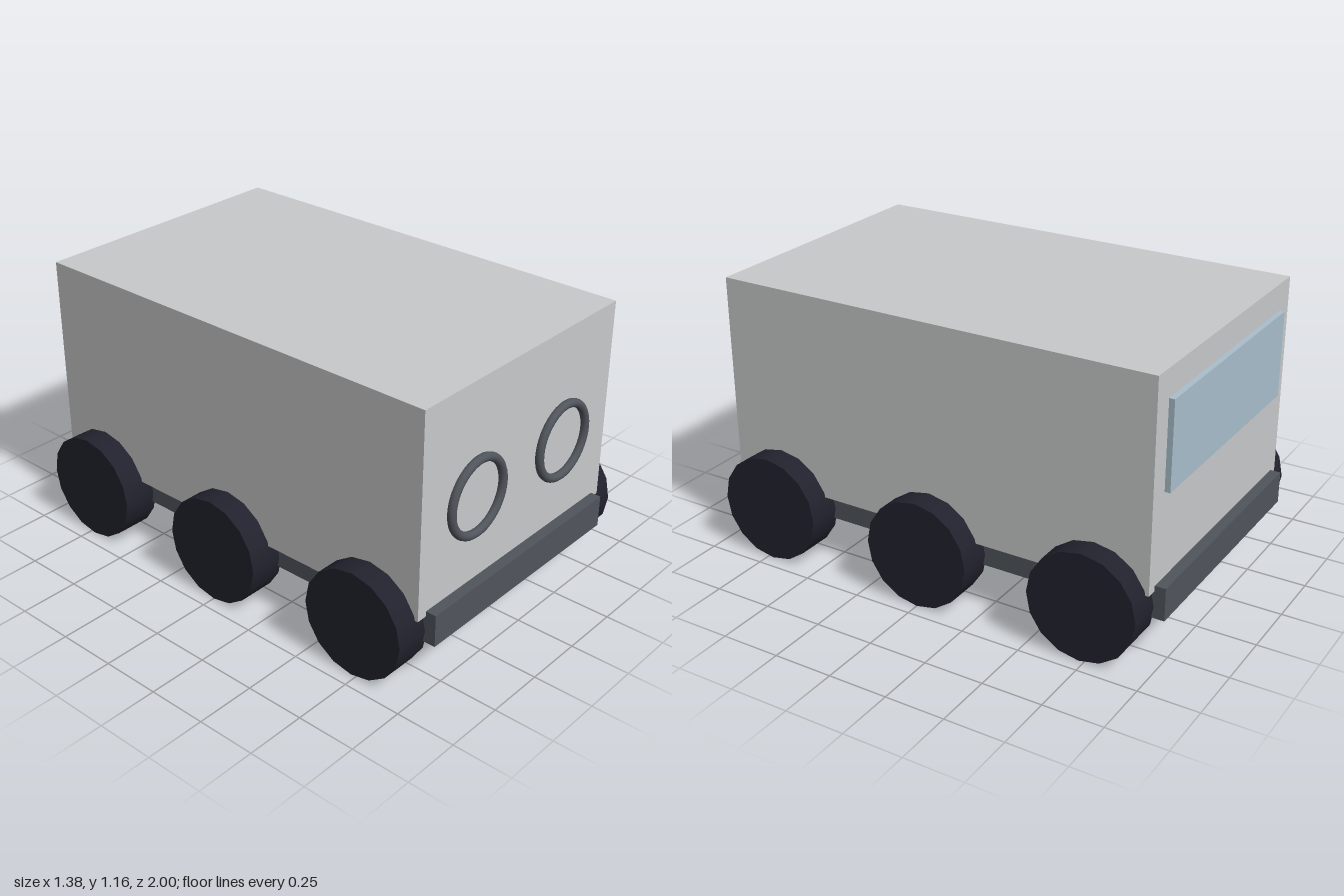
import * as THREE from 'three';

const material = (name, color) => {
  const m = new THREE.MeshStandardMaterial({ color });
  m.name = name;
  return m;
};

export function createModel() {
  const model = new THREE.Group();
  model.name = 'sixWheeledVan';
  const paint = material('bodyGrey', 0xc8c9ca);
  const steel = material('chassisGrey', 0x50555c);
  const rubber = material('tyreBlack', 0x22222e);
  const glass = material('windowBlue', 0xa9becb);

  const add = (name, geometry, mat, x, y, z) => {
    const mesh = new THREE.Mesh(geometry, mat);
    mesh.name = name;
    mesh.position.set(x, y, z);
    model.add(mesh);
    return mesh;
  };

  // Box body on a chassis that sticks out as bumpers at both ends
  add('body', new THREE.BoxGeometry(1.182, 0.866, 1.91), paint, 0, 0.729, 0);
  add('chassis', new THREE.BoxGeometry(1.09, 0.137, 2), steel, 0, 0.25, 0);

  // Rear window
  add('rearWindow', new THREE.BoxGeometry(1.0, 0.364, 0.045), glass, 0, 0.864, -0.955);

  // Headlight rings and wheels, mirrored left and right
  const ring = new THREE.TorusGeometry(0.1545, 0.018, 12, 40);
  const wheel = new THREE.CylinderGeometry(0.2275, 0.2275, 0.159, 16).rotateZ(Math.PI / 2);
  for (const side of [-1, 1]) {
    const label = side > 0 ? 'left' : 'right';
    add(label + 'HeadlightRing', ring, steel, side * 0.273, 0.683, 0.964);
    for (const [place, z] of [['Front', 0.727], ['Middle', 0], ['Rear', -0.727]]) {
      add(label + place + 'Wheel', wheel, rubber, side * 0.612, 0.2275, z);
    }
  }
  return model;
}
